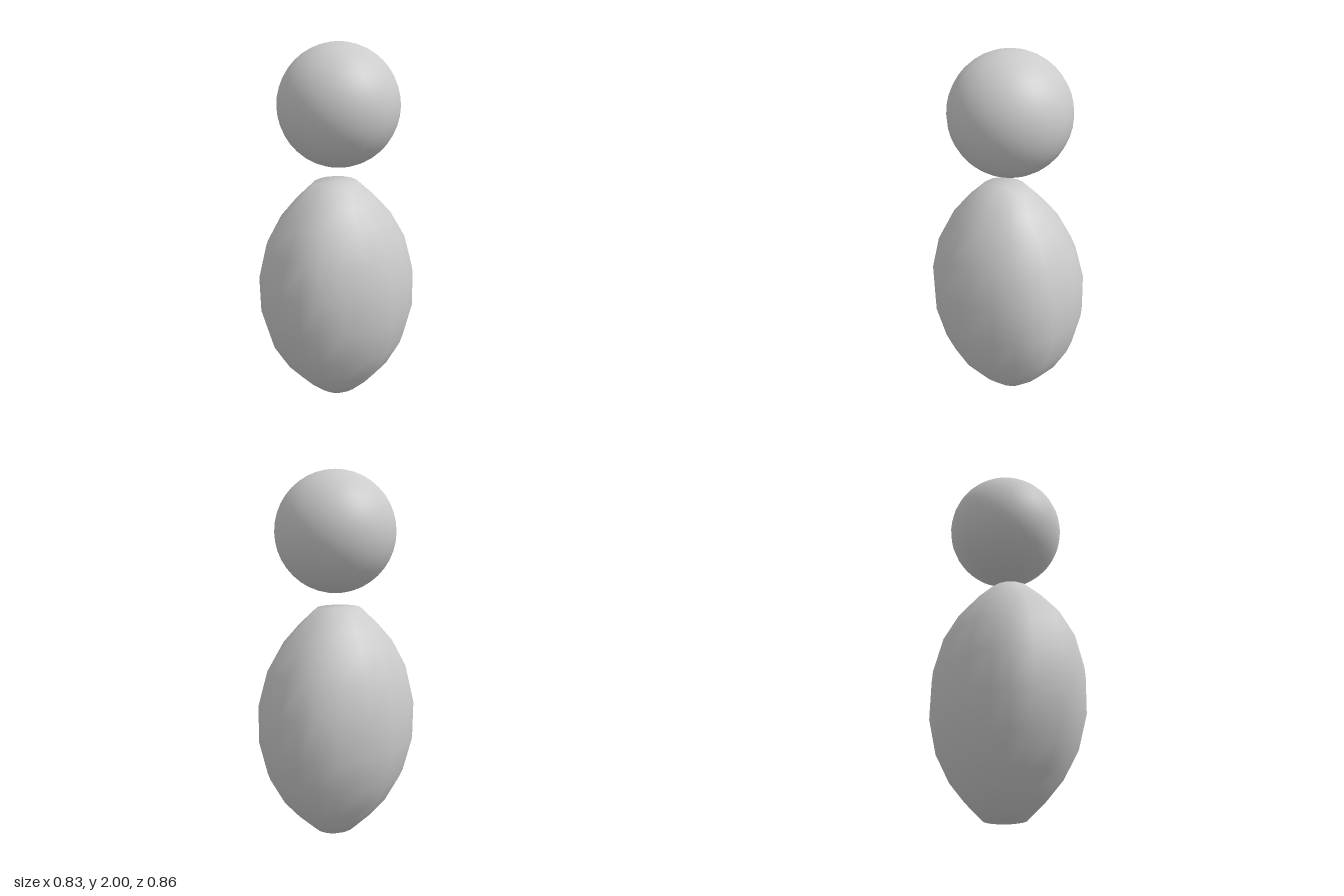
import * as THREE from 'three';

const material = new THREE.MeshStandardMaterial({ color: 0xcccccc });

// Faceted egg: one irregular outline, scaled ring by ring from bottom to top
function createBody() {
  // half of the widest outline [x, z]; the other half is its point reflection
  const half = [
    [0.415, 0], [0.41, -0.12], [0.385, -0.21], [0.325, -0.303], [0.178, -0.408],
    [0.067, -0.43], [-0.025, -0.43], [-0.145, -0.39], [-0.28, -0.295], [-0.37, -0.168],
  ];
  const outline = [...half, ...half.map(([x, z]) => [-x, -z])];
  const n = outline.length;

  // [height, scale] of the lower rings, mirrored for the upper ones
  const height = 1.268;
  const lower = [[0, 0.28], [0.09, 0.5], [0.19, 0.7], [0.34, 0.89], [0.53, 1]];
  const rings = [...lower, ...lower.map(([y, s]) => [height - y, s]).reverse()];

  const positions = [];
  const index = [];
  for (const [y, s] of rings) {
    const lean = (y / height - 0.5) * 2;
    for (const [x, z] of outline) {
      positions.push(x * s - 0.005 * lean, y, z * s + 0.015 * lean);
    }
  }
  for (let i = 0; i < rings.length - 1; i++) {
    for (let j = 0; j < n; j++) {
      const a = i * n + j;
      const b = i * n + (j + 1) % n;
      index.push(a, b, b + n, a, b + n, a + n);
    }
  }

  // caps
  const bottom = positions.length / 3;
  const top = bottom + 1;
  positions.push(0.005, 0, -0.015, -0.005, height, 0.015);
  const last = (rings.length - 1) * n;
  for (let j = 0; j < n; j++) {
    const k = (j + 1) % n;
    index.push(bottom, k, j, top, last + j, last + k);
  }

  const geometry = new THREE.BufferGeometry();
  geometry.setAttribute('position', new THREE.Float32BufferAttribute(positions, 3));
  geometry.setIndex(index);
  geometry.computeVertexNormals();
  const body = new THREE.Mesh(geometry, material);
  body.name = 'body';
  return body;
}

// Round head floating just above the body
function createHead() {
  const head = new THREE.Mesh(new THREE.SphereGeometry(0.323, 32, 20), material);
  head.position.set(0.003, 1.677, -0.014);
  head.name = 'head';
  return head;
}

export function createModel() {
  const group = new THREE.Group();
  group.name = 'figure';
  group.add(createBody(), createHead());
  return group;
}
